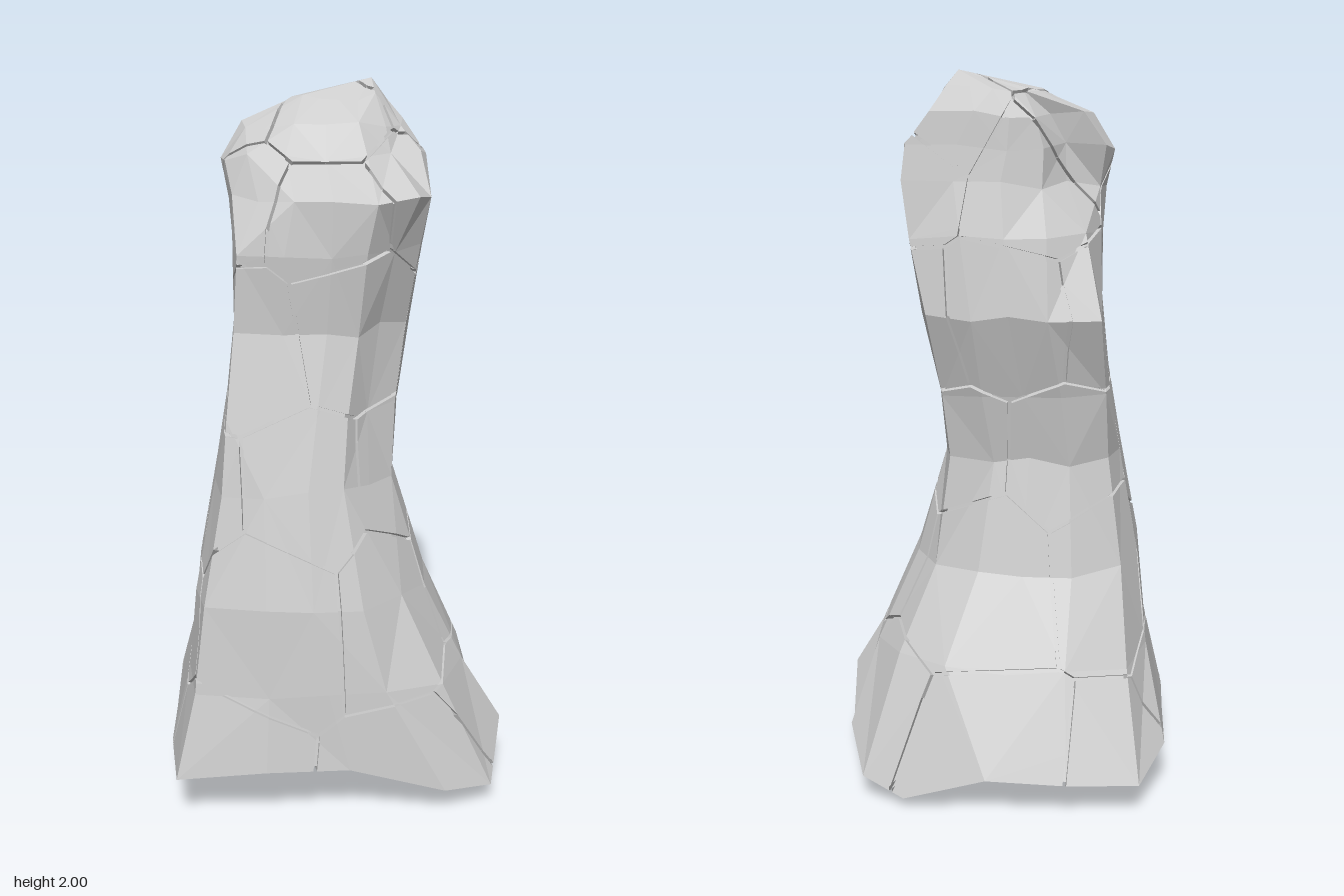
import * as THREE from 'three';
import { mergeVertices } from 'three/addons/utils/BufferGeometryUtils.js';

const SIDES = 16;
const GAP = 0.005;      // half the width of a crack
const DEPTH = 0.016;    // depth of a crack

// Small seeded noise, -1..1
let seed = 11;
const noise = () => {
  seed = (seed * 16807) % 2147483647;
  return (seed / 2147483647) * 2 - 1;
};

// Ragged bottom rim, from +x round through +z
const RIM = [
  [0.465, 0.04, 0], [0.485, 0.17, 0.2], [0.43, 0.06, 0.4], [0.29, 0.08, 0.46],
  [0.02, 0.16, 0.47], [-0.21, 0.17, 0.49], [-0.46, 0.14, 0.46], [-0.485, 0.12, 0.2],
  [-0.48, 0.12, 0], [-0.475, 0.14, -0.28], [-0.4, 0.09, -0.45], [-0.2, 0.1, -0.485],
  [0.02, 0.11, -0.49], [0.25, 0.03, -0.45], [0.37, 0.07, -0.4], [0.43, 0.15, -0.23],
];
// Cross-sections: y, xMin, xMax, zMin, zMax, squareness,
// then how far each corner is pushed out: front left, front right, back right, back left
const SECTIONS = [
  [0.38, -0.425, 0.37, -0.37, 0.455, 4.0, -0.02, 0.045, 0, -0.04],
  [0.62, -0.4, 0.26, -0.245, 0.43, 3.5, -0.05, 0.04, 0, -0.02],
  [0.93, -0.34, 0.165, -0.175, 0.355, 3.0, -0.045, 0.05, 0.03, 0.04],
  [1.12, -0.305, 0.18, -0.21, 0.305, 3.0, -0.06, 0.07, 0.05, 0.035],
  [1.35, -0.28, 0.22, -0.28, 0.25, 3.4, -0.07, 0.08, 0.07, 0.035],
  [1.56, -0.28, 0.25, -0.255, 0.265, 3.0, -0.05, 0.06, 0.01, 0.06],
  [1.7, -0.29, 0.265, -0.225, 0.265, 2.6, 0.03, -0.03, -0.06, 0.09],
  [1.8, -0.31, 0.265, -0.215, 0.13, 2.4, -0.05, 0, -0.09, 0.09],
  [1.88, -0.25, 0.2, -0.21, 0.055, 2.3, 0, 0, -0.08, 0.06],
  [1.95, -0.12, 0.155, -0.19, -0.02, 2.2, 0, 0, -0.03, 0.03],
];

function ring([y, x0, x1, z0, z1, e, ...corners], rough) {
  return Array.from({ length: SIDES }, (_, i) => {
    const a = (i / SIDES) * Math.PI * 2 + noise() * rough * 3;
    const c = Math.cos(a), s = Math.sin(a);
    const r = (Math.abs(c) ** e + Math.abs(s) ** e) ** (-1 / e) * (1 + noise() * rough);
    const push = corners[Math.floor((i * 4) / SIDES)] * Math.sin(2 * a) ** 4 * Math.SQRT1_2;
    const x = (x0 + x1) / 2 + ((x1 - x0) / 2) * c * r + Math.sign(c) * push;
    const z = (z0 + z1) / 2 + ((z1 - z0) / 2) * s * r + Math.sign(s) * push;
    return new THREE.Vector3(
      THREE.MathUtils.clamp(x, x0, x1),
      y + noise() * rough * 1.5,
      THREE.MathUtils.clamp(z, z0, z1));
  });
}

const point = (x, y, z) => Array.from({ length: SIDES }, () => new THREE.Vector3(x, y, z));

// Triangles of the whole closed pillar surface
function skin(rings) {
  const tris = [];
  const add = (a, b, c) => {
    if (new THREE.Triangle(a, b, c).getArea() > 1e-7) tris.push([a, b, c]);
  };
  for (let k = 0; k < rings.length - 1; k++) {
    for (let i = 0; i < SIDES; i++) {
      const j = (i + 1) % SIDES;
      const a = rings[k][i], b = rings[k][j], c = rings[k + 1][i], d = rings[k + 1][j];
      if ((i + k) % 2) { add(a, c, b); add(b, c, d); }
      else { add(a, c, d); add(a, d, b); }
    }
  }
  return tris;
}

// Keep the part of a polygon behind a plane
function clip(poly, plane) {
  const out = [];
  poly.forEach((p, i) => {
    const q = poly[(i + 1) % poly.length];
    const dp = plane.distanceToPoint(p), dq = plane.distanceToPoint(q);
    if (dp <= 0) out.push(p);
    if (dp * dq < 0) out.push(p.clone().lerp(q, dp / (dp - dq)));
  });
  return out;
}

function toGeometry(points) {
  const g = new THREE.BufferGeometry().setFromPoints(points);
  g.computeVertexNormals();
  return g;
}

// One stone plate: the skin inside one cell, with walls down into the cracks
function plateGeometry(tris, planes) {
  const pts = [];
  for (const tri of tris) {
    let poly = tri;
    for (const plane of planes) {
      poly = clip(poly, plane);
      if (poly.length < 3) break;
    }
    if (poly.length < 3) continue;
    for (let i = 1; i < poly.length - 1; i++) pts.push(poly[0], poly[i], poly[i + 1]);
    const inward = new THREE.Triangle(...tri).getNormal(new THREE.Vector3()).multiplyScalar(-DEPTH);
    poly.forEach((p, i) => {
      const q = poly[(i + 1) % poly.length];
      const onCrack = planes.some((pl) =>
        Math.abs(pl.distanceToPoint(p)) < 1e-6 && Math.abs(pl.distanceToPoint(q)) < 1e-6);
      if (!onCrack) return;
      const p2 = p.clone().add(inward), q2 = q.clone().add(inward);
      pts.push(p, p2, q, q, p2, q2);
    });
  }
  return pts.length ? toGeometry(pts) : null;
}

// Core just under the plates, seen at the bottom of the cracks
function coreGeometry(tris) {
  const g = mergeVertices(new THREE.BufferGeometry().setFromPoints(tris.flat()));
  g.computeVertexNormals();
  const p = g.attributes.position, n = g.attributes.normal;
  for (let i = 0; i < p.count; i++) {
    p.setXYZ(i, p.getX(i) - n.getX(i) * DEPTH, p.getY(i) - n.getY(i) * DEPTH, p.getZ(i) - n.getZ(i) * DEPTH);
  }
  const flat = g.toNonIndexed();
  flat.computeVertexNormals();
  return flat;
}

export function createModel() {
  seed = 11;
  const group = new THREE.Group();
  group.name = 'rockPillar';
  const material = new THREE.MeshStandardMaterial({
    color: 0xcccccc, flatShading: true, side: THREE.DoubleSide,
  });

  // Underside, ragged rim, shaft and slanted head
  const rings = [
    point(0.02, 0, -0.06),
    ring([0.1, -0.26, 0.27, -0.28, 0.26, 2.2, 0, 0, 0, 0], 0.02),
    RIM.map((p) => new THREE.Vector3(...p)),
    ...SECTIONS.map((s) => ring(s, 0.009)),
    point(0.115, 2, -0.12),
  ];
  const tris = skin(rings);

  // Plate centres: staggered bands up the pillar, plus two underneath
  const centres = [new THREE.Vector3(0.2, 0.05, -0.1), new THREE.Vector3(-0.2, 0.05, 0.05)];
  [[2, 7], [4, 6], [5, 5], [7, 5], [9, 5], [11, 3]].forEach(([level, count], band) => {
    for (let j = 0; j < count; j++) {
      const i = Math.round(((j + (band % 2) / 2) * SIDES) / count + 1) % SIDES;
      const c = rings[level][i].clone();
      c.y += 0.07 * noise();
      centres.push(c);
    }
  });

  centres.forEach((c, i) => {
    const planes = centres.filter((o) => o !== c).map((o) => {
      const n = o.clone().sub(c).normalize();
      const mid = o.clone().add(c).multiplyScalar(0.5).addScaledVector(n, -GAP);
      return new THREE.Plane().setFromNormalAndCoplanarPoint(n, mid);
    });
    const geometry = plateGeometry(tris, planes);
    if (!geometry) return;
    const plate = new THREE.Mesh(geometry, material);
    plate.name = `stonePlate${i + 1}`;
    group.add(plate);
  });

  const core = new THREE.Mesh(coreGeometry(tris), material);
  core.name = 'stoneCore';
  group.add(core);
  return group;
}
